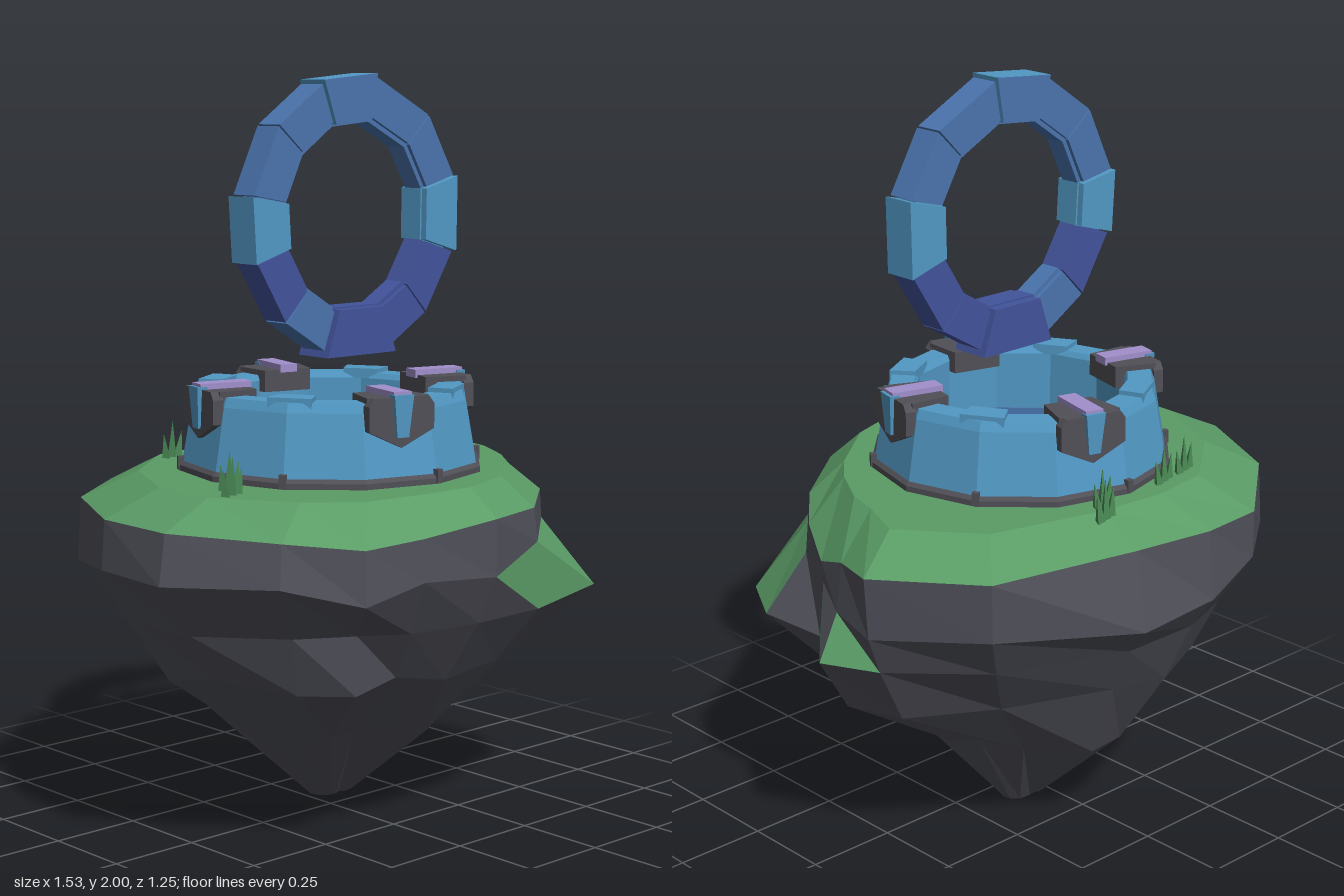
import * as THREE from 'three';

const mat = (name, color, extra = {}) => {
  const m = new THREE.MeshStandardMaterial({ color, flatShading: true, ...extra });
  m.name = name;
  return m;
};
const rad = THREE.MathUtils.degToRad;

export function createModel() {
  const grass = mat('grass green', 0x5a9c66);
  const blade = mat('blade green', 0x4a8a55, { side: THREE.DoubleSide });
  const rock = mat('rock grey', 0x50515a);
  const iron = mat('iron grey', 0x504f56);
  const sky = mat('light blue', 0x5299c5);
  const mid = mat('medium blue', 0x4a74ae);
  const deep = mat('deep blue', 0x42549c);
  const violet = mat('violet', 0xa08fcb);

  const model = new THREE.Group();
  const add = (parent, name, geometry, material) => {
    const mesh = new THREE.Mesh(geometry, material);
    mesh.name = name;
    parent.add(mesh);
    return mesh;
  };

  // Floating island: loops of points at these angles, running from +x towards +z
  const angles = [-4.5, 6, 23, 38, 67, 90, 112, 126, 142, 165, 184, 211, 241, 260, 284, 319, 343];
  const rimR = [.68, .65, .60, .575, .585, .62, .655, .72, .74, .765, .735, .68, .65, .61, .60, .73, .785];
  const rimY = [.86, .82, .85, .88, .88, .89, .87, .86, .88, .89, .89, .89, .88, .89, .90, .89, .89];
  const midR = [.70, .645, .61, .58, .595, .62, .66, .73, .765, .79, .745, .69, .65, .625, .645, .72, .77];
  const midY = [.73, .76, .77, .80, .79, .74, .76, .72, .77, .76, .76, .72, .75, .70, .69, .73, .72];
  const lowR = [.765, .66, .725, .73, .60, .56, .57, .56, .60, .66, .65, .6, .56, .56, .57, .64, .72];
  const footR = [.67, .55, .55, .54, .48, .44, .47, .54, .53, .55, .54, .50, .49, .48, .49, .52, .62];
  const N = angles.length;
  const loop = (radius, height, ox = 0, oz = 0) => angles.map((deg, i) => {
    const r = radius(i);
    return [ox + r * Math.cos(rad(deg)), height(i), oz + r * Math.sin(rad(deg))];
  });
  const loops = [
    loop(() => 0, () => .96),
    loop(i => rimR[i] * .8, () => .96, 0, .03),
    loop(i => rimR[i], i => rimY[i]),
    loop(i => midR[i], i => midY[i]),
    loop(i => lowR[i], () => .61),
    loop(i => footR[i], i => .455 + .02 * Math.sin(i * 2.3)),
    loop(i => lowR[i] * (.41 + .12 * Math.abs(Math.sin(rad(angles[i]))) + .025 * Math.sin(i * 1.9)),
      i => .25 + .02 * Math.sin(i * 1.3), .01, -.065),
    loop(i => .035 + .035 * Math.abs(Math.cos(rad(angles[i]))), () => .01, .07, -.08),
    loop(() => 0, () => 0, .07, -.08),
  ];
  const turf = [], stone = [];
  for (let k = 0; k < loops.length - 1; k++) {
    for (let i = 0; i < N; i++) {
      const j = (i + 1) % N, a = loops[k], b = loops[k + 1];
      // Grass covers the top, a lower ledge at the front left and a corner beside it
      const first = k < 2 || (k === 3 && i >= 2 && i <= 4);
      const second = k < 2 || (k === 3 && (i === 2 || i === 3 || i === 0 || i === 16));
      if (k > 0) (first ? turf : stone).push(...a[i], ...a[j], ...b[i]);
      if (k < loops.length - 2) (second ? turf : stone).push(...a[j], ...b[j], ...b[i]);
    }
  }
  for (const [name, points, material] of [['islandGrass', turf, grass], ['islandRock', stone, rock]]) {
    const g = new THREE.BufferGeometry();
    g.setAttribute('position', new THREE.Float32BufferAttribute(points, 3));
    g.computeVertexNormals();
    add(model, name, g, material);
  }

  // Twelve-sided stone well
  const well = new THREE.Group();
  well.name = 'well';
  well.position.set(-.02, 0, .02);
  model.add(well);
  const lathe = pts => new THREE.LatheGeometry(pts.map(p => new THREE.Vector2(...p)), 12);
  add(well, 'baseTrim', lathe([[.415, .94], [.415, .975], [.405, .985], [.38, .985]]), iron);
  add(well, 'wellWall', lathe([[.405, .98], [.375, 1.15], [.365, 1.175], [.298, 1.175], [.29, 1.16], [.29, .95]]), sky);
  add(well, 'innerBand', lathe([[.29, 1], [.285, 1], [.285, .95]]), mid);

  // Flat shape in the xz plane raised between two heights
  const slab = (pts, y0, y1) => {
    const shape = new THREE.Shape(pts.map(([x, z]) => new THREE.Vector2(x, -z)));
    return new THREE.ExtrudeGeometry(shape, { depth: y1 - y0, bevelEnabled: false })
      .rotateX(-Math.PI / 2).translate(0, y0, 0);
  };
  const box = (w, h, d, x, y, z) => new THREE.BoxGeometry(w, h, d).translate(x, y, z);
  // Groups whose local +z points outwards at the given angle from +x towards +z
  const spoke = (name, degrees) => {
    const g = new THREE.Group();
    g.name = name;
    g.rotation.y = Math.PI / 2 - rad(degrees);
    well.add(g);
    return g;
  };
  const shield = new THREE.Shape([[-.08, 1.19], [-.095, 1.17], [-.095, 1.105], [0, 1.06], [.095, 1.105], [.095, 1.17], [.08, 1.19]]
    .map(p => new THREE.Vector2(...p)));
  for (let q = 0; q < 4; q++) {
    // Clamp with hanging shield and centre strap
    const clamp = spoke('clamp', 15 + 90 * q);
    add(clamp, 'clampTop', slab([[-.07, .255], [.07, .255], [.09, .37], [-.09, .37]], 1.13, 1.19), iron);
    add(clamp, 'clampShield', new THREE.ExtrudeGeometry(shield, { depth: .03, bevelEnabled: false })
      .translate(0, 0, .362), iron);
    add(clamp, 'topStrap', box(.052, .022, .148, 0, 1.194, .322), violet);
    add(clamp, 'frontStrap', new THREE.CylinderGeometry(.04, .024, .11, 4, 1, false, Math.PI / 4)
      .scale(1, 1, .5).translate(0, 1.142, .391), sky);
    // Raised coping stone between the clamps
    const coping = spoke('coping', 60 + 90 * q);
    add(coping, 'copingStone', slab([[-.05, .285], [.05, .285], [.06, .355], [-.06, .355]], 1.16, 1.187), sky);
  }
  for (let i = 0; i < 6; i++) {
    add(spoke('trimStud', 30 + 60 * i), 'stud', box(.018, .035, .02, 0, .98, .407), iron);
  }

  // Floating upright ring: wedge stones, each with a narrower core that meets its neighbours
  const ring = new THREE.Group();
  ring.name = 'floatingRing';
  ring.position.set(-.005, 1.632, .072);
  model.add(ring);
  const joints = [15, 45, 80, 110, 139, 170, 197, 226, 251, 289, 313, 343];
  const colours = [mid, mid, [mid, sky], mid, mid, sky, deep, mid, deep, deep, deep, sky];
  const pt = (r, deg) => new THREE.Vector2(r * Math.cos(rad(deg)), r * Math.sin(rad(deg)));
  const wedge = (r0, r1, from, to, d) => new THREE.ExtrudeGeometry(
    new THREE.Shape([pt(r0, from), pt(r1, from), pt(r1, to), pt(r0, to)]), { depth: d, bevelEnabled: false })
    .translate(0, 0, -d / 2);
  joints.forEach((from, i) => {
    const to = joints[(i + 1) % 12] + (i === 11 ? 360 : 0);
    const bottom = i === 8, big = bottom || i === 2 || i === 5 || i === 11;
    const r0 = big ? .255 : .262, r1 = bottom ? .386 : big ? .378 : .368;
    add(ring, 'stoneCore', wedge(.25, .345, from, to, .06), colours[i]);
    add(ring, 'ringStone', wedge(r0, r1, from + .4, to - .4, bottom ? .115 : big ? .097 : .083), colours[i]);
  });

  // Grass tufts of three blades
  for (const [x, z] of [[-.25, -.37], [-.15, -.39], [.09, -.4], [.14, -.46], [-.52, .2], [-.47, .13]]) {
    const tuft = new THREE.Group();
    tuft.name = 'grassTuft';
    tuft.position.set(x, .95, z);
    model.add(tuft);
    for (let b = -1; b <= 1; b++) {
      const h = b ? .08 : .11;
      const leaf = add(tuft, 'blade', new THREE.ConeGeometry(.016, h, 3).translate(0, h / 2, 0), blade);
      leaf.position.set(b * .026, 0, b * -.008);
      leaf.rotation.z = -b * .15;
    }
  }
  return model;
}
